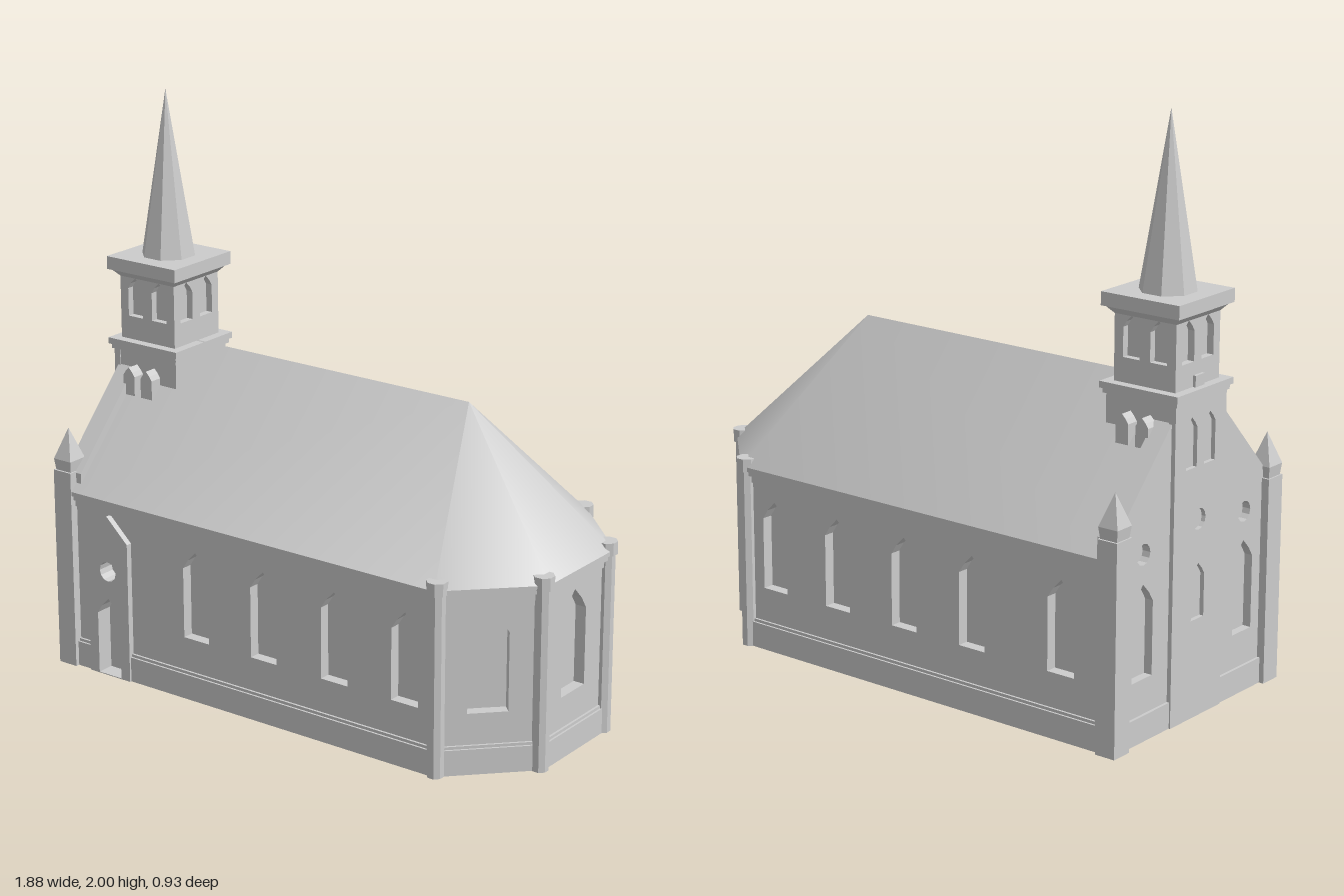
import * as THREE from 'three';
import { toCreasedNormals } from 'three/addons/utils/BufferGeometryUtils.js';

export function createModel() {
  const stone = new THREE.MeshStandardMaterial({ color: 0xcccccc });
  stone.name = 'pale stone';
  const model = new THREE.Group();
  model.name = 'chapel';

  const add = (name, geo, x = 0, y = 0, z = 0, parent = model) => {
    const m = new THREE.Mesh(geo, stone);
    m.name = name;
    m.position.set(x, y, z);
    parent.add(m);
    return m;
  };
  const facet = (geo) => toCreasedNormals(geo, 0.1);
  // box given by its min and max corners
  const box = (name, x0, x1, y0, y1, z0, z1, parent) =>
    add(name, new THREE.BoxGeometry(x1 - x0, y1 - y0, z1 - z0),
      (x0 + x1) / 2, (y0 + y1) / 2, (z0 + z1) / 2, parent);
  const shapeOf = (pts) => new THREE.Shape(pts.map(([x, y]) => new THREE.Vector2(x, y)));
  const extrude = (shape, depth) =>
    new THREE.ExtrudeGeometry(shape, { depth, bevelEnabled: false, curveSegments: 6 });

  // openings: pointed arch and round window
  const lancet = (x, y0, y1, w) => {
    const h = w / 2, s = y1 - w * 0.62;
    return shapeOf([[x - h, y0], [x + h, y0], [x + h, s], [x + h * 0.6, s + (y1 - s) * 0.5],
      [x, y1], [x - h * 0.6, s + (y1 - s) * 0.5], [x - h, s]]);
  };
  const oculus = (x, y, r = 0.036) => new THREE.Shape().absarc(x, y, r, 0, Math.PI * 2);
  const rect = (w, y0, y1) => shapeOf([[-w / 2, y0], [w / 2, y0], [w / 2, y1], [-w / 2, y1]]);
  const pierced = (shape, holes, depth) => {
    shape.holes.push(...holes);
    return extrude(shape, depth);
  };

  // chapel footprint, grown outward by d
  const footprint = (d) => [
    [-0.88, 0.43 + d], [0.65 + d * 0.41, 0.43 + d], [0.905 + d, 0.185 + d * 0.41],
    [0.905 + d, -0.185 - d * 0.41], [0.65 + d * 0.41, -0.43 - d], [-0.88, -0.43 - d],
  ];
  const slab = (name, d, y0, y1) =>
    add(name, extrude(shapeOf(footprint(d).reverse()), y1 - y0).rotateX(-Math.PI / 2), 0, y0, 0);

  slab('innerCore', -0.04, 0, 0.62);
  slab('lowerCornice', 0.008, 0.595, 0.62);
  slab('middleCornice', 0.018, 0.62, 0.637);
  slab('eaves', 0.026, 0.637, 0.652);

  // one wall: pierced panel plus a plinth interrupted by an optional doorway [from, to]
  const wall = (name, x, z, angle, length, holes, gap) => {
    const g = new THREE.Group();
    g.name = name;
    g.position.set(x, 0, z);
    g.rotation.y = angle;
    model.add(g);
    add('wallPanel', pierced(rect(length, 0, 0.62), holes, 0.04), 0, 0, -0.04, g);
    const L = length / 2;
    const runs = gap ? [[-L, gap[0]], [gap[1], L]] : [[-L, L]];
    for (const [a, b] of runs) {
      box('plinth', a, b, 0, 0.09, -0.005, 0.015, g);
      box('plinthStep', a, b, 0.09, 0.1, -0.005, 0.008, g);
    }
    return g;
  };

  const sideX = -0.125, sideLength = 1.55;
  const bays = [-0.335, -0.045, 0.25, 0.535];
  const doorX = -0.71 - sideX;
  const doorHoles = () => [lancet(doorX, 0.003, 0.29, 0.1), oculus(doorX, 0.39)];
  const front = wall('frontWall', sideX, 0.43, 0, sideLength,
    [...bays.map((x) => lancet(x - sideX, 0.22, 0.54, 0.108)), ...doorHoles()],
    [doorX - 0.09, doorX + 0.09]);
  // gabled door surround
  const porch = shapeOf([[doorX - 0.09, 0], [doorX + 0.09, 0], [doorX + 0.09, 0.51],
    [doorX, 0.595], [doorX - 0.09, 0.51]]);
  add('doorSurround', pierced(porch, doorHoles(), 0.022), 0, 0, 0, front);

  wall('backWall', sideX, -0.43, Math.PI, sideLength,
    [-0.7, ...bays].map((x) => lancet(sideX - x, 0.22, 0.54, 0.108)));
  // three-sided apse
  wall('apseEndWall', 0.905, 0, Math.PI / 2, 0.37, [lancet(0, 0.21, 0.57, 0.14)]);
  wall('apseFrontWall', 0.7775, 0.3075, Math.PI / 4, 0.354, [lancet(0, 0.21, 0.57, 0.135)]);
  wall('apseBackWall', 0.7775, -0.3075, Math.PI * 0.75, 0.354,
    [lancet(0, 0.003, 0.27, 0.1), oculus(0, 0.4)], [-0.06, 0.06]);

  // apse corner shafts with caps
  for (const s of [1, -1]) {
    for (const [x, z] of [[0.66, 0.432], [0.906, 0.19]]) {
      const shaft = new THREE.CylinderGeometry(0.029, 0.029, 0.64, 8).rotateY(Math.PI / 8);
      add('cornerShaft', facet(shaft), x, 0.32, z * s);
      const cap = new THREE.CylinderGeometry(0.036, 0.036, 0.045, 8).rotateY(Math.PI / 8);
      add('cornerShaftCap', facet(cap), x, 0.658, z * s);
    }
  }

  // roof: two long slopes and a fan over the apse
  const rim = [[-0.88, 0.456], [0.665, 0.456], [0.931, 0.196],
    [0.931, -0.196], [0.665, -0.456], [-0.88, -0.456]].map(([x, z]) => [x, 0.652, z]);
  const ridgeStart = [-0.88, 1.125, 0], ridgeEnd = [0.48, 1.125, 0];
  const tri = [];
  for (let i = 0; i < 5; i++) tri.push(rim[i], rim[i + 1], ridgeEnd);
  tri.push(rim[0], ridgeEnd, ridgeStart, rim[5], ridgeStart, ridgeEnd);
  const roof = new THREE.BufferGeometry();
  roof.setAttribute('position', new THREE.Float32BufferAttribute(tri.flat(), 3));
  add('roof', toCreasedNormals(roof, 0.9));

  // gable end, facing -x
  const west = new THREE.Group();
  west.name = 'gableEnd';
  west.rotation.y = -Math.PI / 2;
  model.add(west);
  const gable = () => shapeOf([[-0.43, 0], [0.43, 0], [0.43, 0.715], [0.13, 1.035],
    [-0.13, 1.035], [-0.43, 0.715]]);
  const bayHoles = [-0.28, 0.28].flatMap((z) => [lancet(z, 0.21, 0.53, 0.108), oculus(z, 0.63)]);
  add('gableWall', pierced(gable(), bayHoles, 0.035), 0, 0, 0.875, west);
  add('gableParapet', extrude(gable(), 0.035), 0, 0, 0.84, west);
  add('towerFront', pierced(rect(0.28, 0, 1.09), [
    lancet(-0.05, 0.86, 1.03, 0.06), lancet(0.05, 0.86, 1.03, 0.06),
    oculus(0, 0.68), lancet(0, 0.34, 0.53, 0.07),
  ], 0.025), 0, 0, 0.9, west);
  for (const s of [1, -1]) {
    box('gablePlinth', s * 0.285 - 0.145, s * 0.285 + 0.145, 0, 0.09, 0.9, 0.92, west);
    // corner buttress and pinnacle
    const z0 = s > 0 ? 0.38 : -0.46;
    box('cornerButtress', -0.938, -0.862, 0, 0.72, z0, z0 + 0.08);
    const neck = new THREE.CylinderGeometry(0.053, 0.046, 0.04, 4).rotateY(Math.PI / 4);
    add('pinnacleNeck', facet(neck), -0.9, 0.74, s * 0.42);
    const tip = new THREE.ConeGeometry(0.053, 0.11, 4).rotateY(Math.PI / 4);
    add('pinnacle', facet(tip), -0.9, 0.815, s * 0.42);
    // pointed brackets under the tower
    for (const x of [-0.825, -0.747]) {
      add('bracket', extrude(lancet(x, 0.94, 1.04, 0.05), 0.055), 0, 0, s > 0 ? 0.128 : -0.183);
    }
  }

  // tower base and cornice
  const tx = -0.787;
  box('towerBase', -0.902, -0.65, 0.9, 1.09, -0.137, 0.137);
  box('towerBaseMoulding', -0.932, -0.642, 1.083, 1.1, -0.146, 0.146);
  box('towerCornice', -0.94, -0.634, 1.1, 1.122, -0.154, 0.154);
  box('towerCrest', -0.918, -0.9, 1.12, 1.16, -0.025, 0.025);

  // belfry with paired openings on each side
  box('belfryCore', tx - 0.095, tx + 0.095, 1.12, 1.35, -0.095, 0.095);
  for (let i = 0; i < 4; i++) {
    const holes = [-0.053, 0.053].map((x) => lancet(x, 1.205, 1.345, 0.065));
    const geo = pierced(rect(0.24, 1.12, 1.365), holes, 0.028);
    geo.translate(0, 0, 0.092).rotateY((i * Math.PI) / 2);
    add('belfryWall', geo, tx, 0, 0);
  }
  const flare = new THREE.CylinderGeometry(0.145 * Math.SQRT2, 0.12 * Math.SQRT2, 0.028, 4);
  add('belfryFlare', facet(flare.rotateY(Math.PI / 4)), tx, 1.358, 0);
  box('belfryCap', tx - 0.152, tx + 0.152, 1.37, 1.416, -0.152, 0.152);

  // octagonal spire
  const spire = new THREE.ConeGeometry(0.096, 0.585, 8).rotateY(Math.PI / 8);
  add('spire', facet(spire), tx, 1.7075, 0);
  return model;
}
